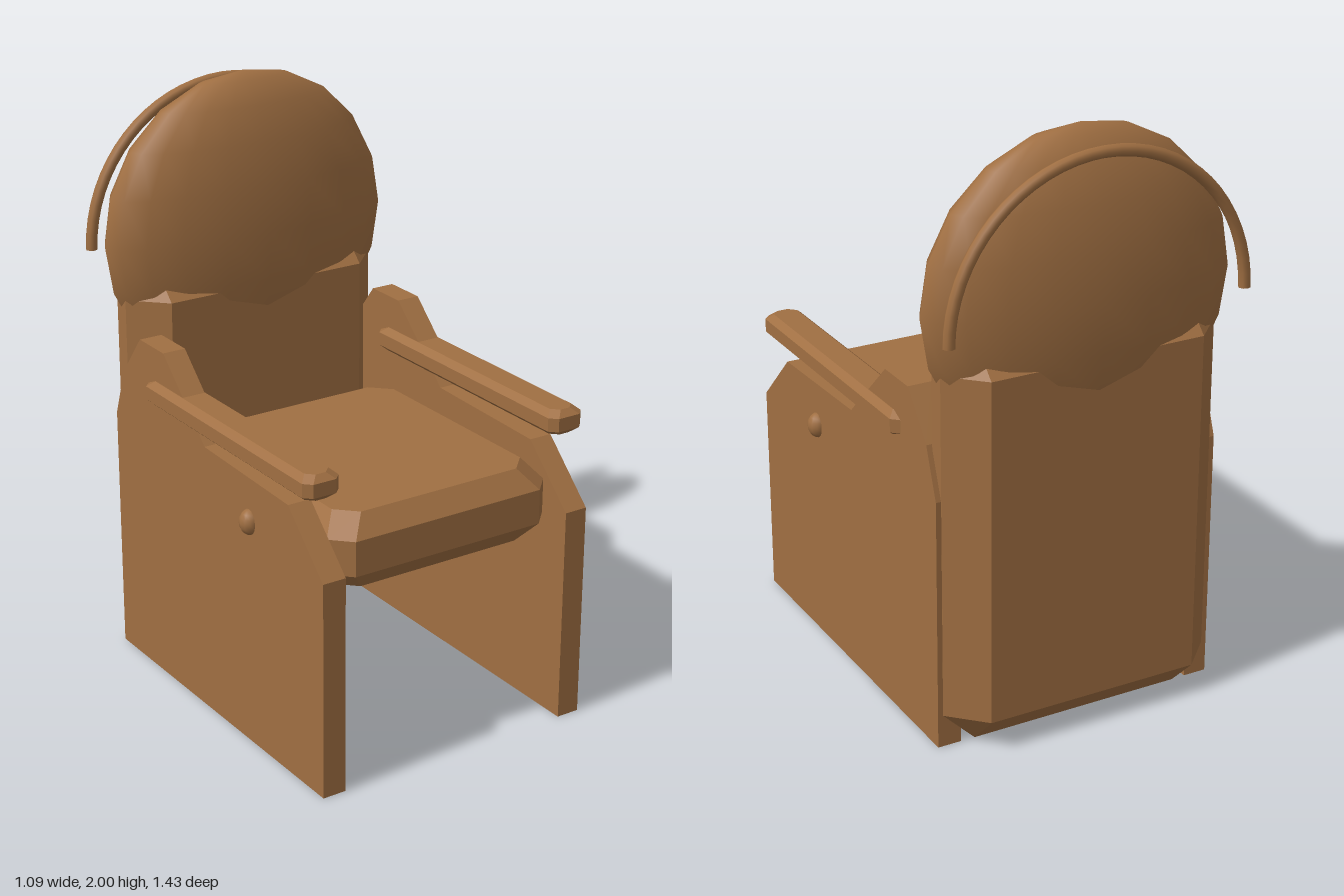
import * as THREE from 'three';
import { ConvexGeometry } from 'three/addons/geometries/ConvexGeometry.js';

const wood = new THREE.MeshStandardMaterial({ color: 0xa06f42 });
wood.name = 'brown wood';

function add(parent, name, geometry, x = 0, y = 0, z = 0) {
  const mesh = new THREE.Mesh(geometry, wood);
  mesh.name = name;
  mesh.position.set(x, y, z);
  parent.add(mesh);
  return mesh;
}

// Box with every edge chamfered by c and flat triangular corners
function chamferBox(w, h, d, c) {
  const pts = [];
  for (const sx of [-1, 1]) for (const sy of [-1, 1]) for (const sz of [-1, 1]) {
    for (let axis = 0; axis < 3; axis++) {
      const p = [w, h, d].map((s, i) => s / 2 - (i === axis ? 0 : c));
      pts.push(new THREE.Vector3(sx * p[0], sy * p[1], sz * p[2]));
    }
  }
  return new ConvexGeometry(pts);
}

// Slab with cut corners in plan, and bevelled top and bottom rims
function bevelSlab(w, h, d, cut, inset, rise) {
  const pts = [];
  for (const sy of [-1, 1]) for (const [ins, y] of [[inset, h / 2], [0, h / 2 - rise]]) {
    const a = w / 2 - ins, b = d / 2 - ins;
    for (const sx of [-1, 1]) for (const sz of [-1, 1]) {
      pts.push(new THREE.Vector3(sx * (a - cut), sy * y, sz * b));
      pts.push(new THREE.Vector3(sx * a, sy * y, sz * (b - cut)));
    }
  }
  return new ConvexGeometry(pts);
}

// Side panel outline as (z, y), extruded across x
function panelGeometry(thickness) {
  const outline = [
    [0.715, 0], [0.715, 0.745], [0.52, 0.935], [0.02, 0.95], [-0.235, 1.19],
    [-0.39, 1.19], [-0.51, 1.04], [-0.57, 0.87], [-0.57, 0],
  ].map(([z, y]) => new THREE.Vector2(-z, y));
  const geo = new THREE.ExtrudeGeometry(new THREE.Shape(outline), { depth: thickness, bevelEnabled: false });
  geo.translate(0, 0, -thickness / 2);
  return geo.rotateY(Math.PI / 2);
}

export function createModel() {
  const chair = new THREE.Group();
  chair.name = 'armchair';

  add(chair, 'seat', bevelSlab(0.84, 0.255, 0.955, 0.065, 0.055, 0.068), 0, 0.7675, 0.1875);
  add(chair, 'backrest', chamferBox(0.98, 1.4, 0.282, 0.113), 0, 0.7, -0.543);

  // Oval cushion on top of the backrest
  add(chair, 'headCushion', new THREE.SphereGeometry(1, 20, 10), 0, 1.47, -0.545)
    .scale.set(0.543, 0.53, 0.167);

  // Arched rail behind the cushion, with closed ends
  const rail = new THREE.Group();
  rail.name = 'archedRail';
  rail.position.set(0, 1.425, -0.685);
  chair.add(rail);
  add(rail, 'arch', new THREE.TorusGeometry(0.52, 0.02, 8, 32, Math.PI));
  for (const s of [-1, 1]) {
    add(rail, 'archEnd', new THREE.CircleGeometry(0.02, 8).rotateX(Math.PI / 2), s * 0.52);
  }

  // Mirrored sides
  for (const [side, s] of [['left', 1], ['right', -1]]) {
    add(chair, side + 'Panel', panelGeometry(0.082), s * 0.467);
    add(chair, side + 'Armrest', bevelSlab(0.132, 0.086, 1.0, 0.025, 0.023, 0.02), s * 0.467, 1.032, 0.163);
    add(chair, side + 'Knob', new THREE.SphereGeometry(1, 12, 8), s * 0.505, 0.79, 0.29)
      .scale.set(0.036, 0.044, 0.036);
  }
  return chair;
}
